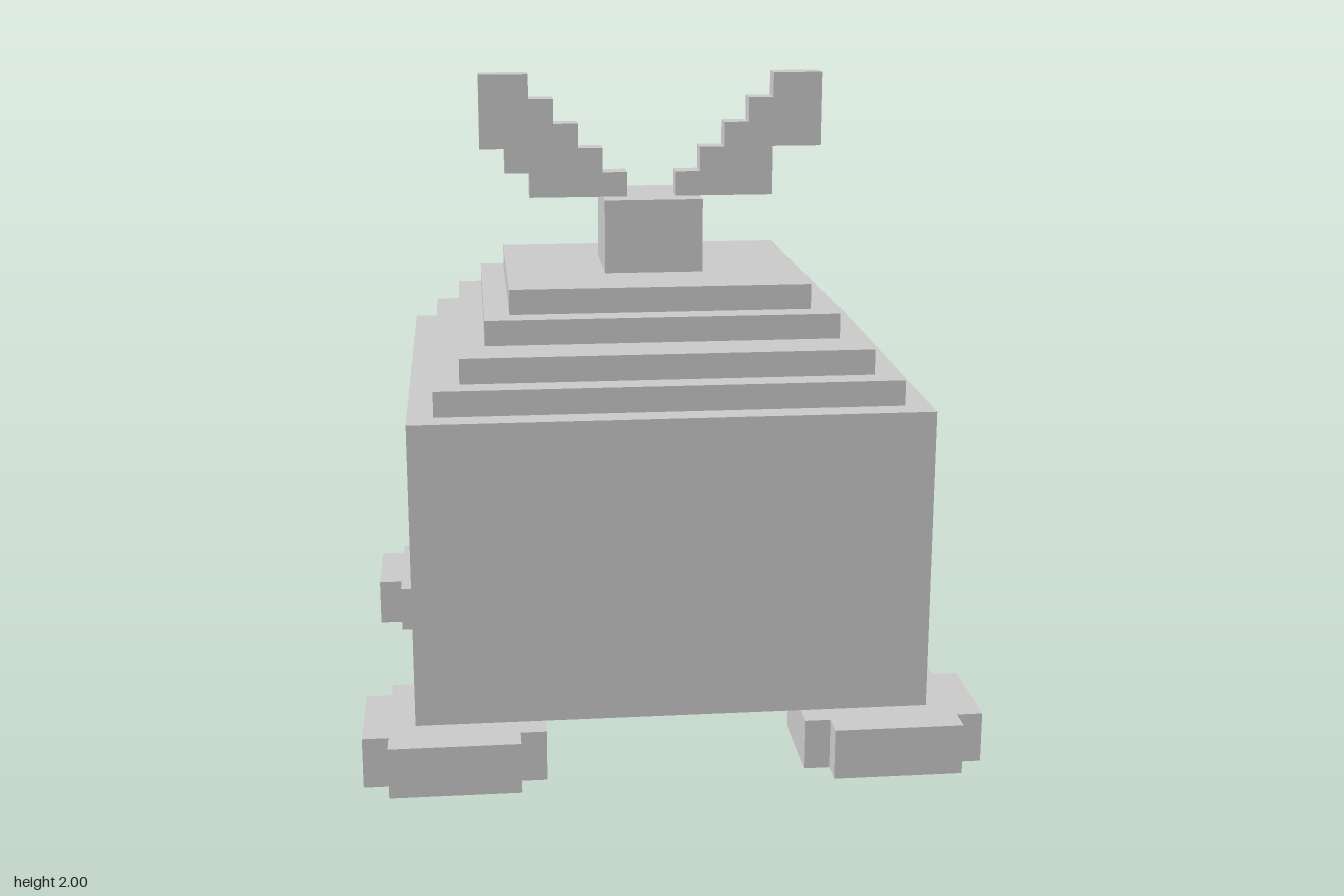
import * as THREE from 'three';

const U = 1 / 13; // one block
const material = new THREE.MeshStandardMaterial({ color: 0xcccccc, flatShading: true });

function addMesh(parent, name, geometry) {
  const mesh = new THREE.Mesh(geometry, material);
  mesh.name = name;
  parent.add(mesh);
  return mesh;
}

// Box given by its limits in blocks
function block(parent, name, [x0, x1], [y0, y1], [z0, z1]) {
  const geometry = new THREE.BoxGeometry((x1 - x0) * U, (y1 - y0) * U, (z1 - z0) * U);
  const mesh = addMesh(parent, name, geometry);
  mesh.position.set((x0 + x1) / 2 * U, (y0 + y1) / 2 * U, (z0 + z1) / 2 * U);
}

// Solid cut from a stepped outline given in blocks
function slab(points, depth) {
  const shape = new THREE.Shape(points.map(([x, y]) => new THREE.Vector2(x * U, y * U)));
  return new THREE.ExtrudeGeometry(shape, { depth: depth * U, bevelEnabled: false });
}

export function createModel() {
  const model = new THREE.Group();
  model.name = 'blockCreature';

  // Body and stepped roof
  block(model, 'body', [-10, 10], [2, 14], [-9.5, 9.5]);
  const tiers = [[9, -8.5, 8.5], [8, -7.5, 7.5], [7, -6.5, 5.5], [6, -5.5, 4.5]];
  tiers.forEach(([x, back, front], i) =>
    block(model, `roofTier${i + 1}`, [-x, x], [14 + i, 15 + i], [back, front]));

  // Stem
  block(model, 'stem', [-2, 2], [18, 21], [-2.5, 1.5]);

  // Feet: rectangles with one block missing at each corner
  const footOutline = [
    [-2.5, -3], [2.5, -3], [2.5, -2], [3.5, -2], [3.5, 2], [2.5, 2],
    [2.5, 3], [-2.5, 3], [-2.5, 2], [-3.5, 2], [-3.5, -2], [-2.5, -2],
  ];
  for (const [zName, zSide] of [['front', 1], ['back', -1]]) {
    for (const [xName, xSide] of [['Left', 1], ['Right', -1]]) {
      const foot = addMesh(model, `${zName}${xName}Foot`, slab(footOutline, 2).rotateX(-Math.PI / 2));
      foot.position.set(xSide * 8.5 * U, 0, zSide * 8.5 * U);
    }
  }

  // Leaves: the same stair on top, with different undersides
  const stair = [
    [7, 26], [5, 26], [5, 25], [4, 25], [4, 24], [3, 24],
    [3, 23], [2, 23], [2, 22], [1, 22], [1, 21],
  ];
  const leftOutline = [...stair, [5, 21], [5, 23], [7, 23]];
  const rightOutline = [...stair, [5, 21], [5, 22], [6, 22], [6, 23], [7, 23]]
    .map(([x, y]) => [-x, y]);
  addMesh(model, 'leftLeaf', slab(leftOutline, 1)).position.z = -U / 2;
  addMesh(model, 'rightLeaf', slab(rightOutline, 1)).position.z = -U / 2;

  return model;
}
